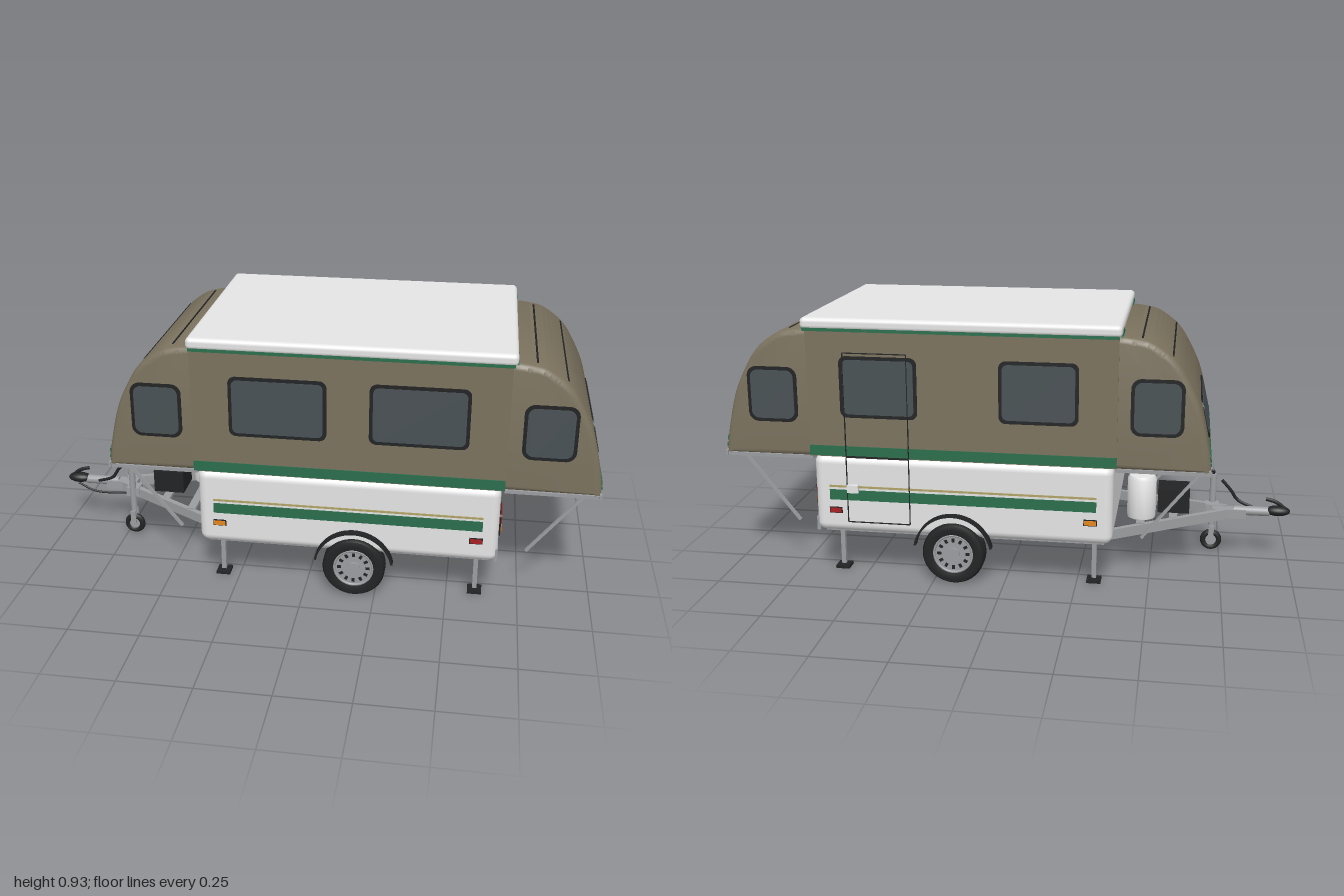
import * as THREE from 'three';
import { toCreasedNormals } from 'three/addons/utils/BufferGeometryUtils.js';
import { RoundedBoxGeometry } from 'three/addons/geometries/RoundedBoxGeometry.js';

const material = (name, color) => Object.assign(new THREE.MeshStandardMaterial({ color }), { name });
const M = {
  white: material('white panel', 0xe5e5e5), canvas: material('tent canvas', 0x7b725e),
  green: material('green trim', 0x2b6e4d), glass: material('window', 0x495154),
  black: material('black rubber', 0x222324), metal: material('grey metal', 0x9b9da0),
  red: material('red lens', 0xaa1f24), orange: material('orange lens', 0xe6861e),
  tan: material('tan stripe', 0xb0a468),
};
const V = (x, y, z) => new THREE.Vector3(x, y, z);
const MID = 0.15; // centre of the cabin along x

function add(parent, name, geo, mat, x = 0, y = 0, z = 0) {
  const m = new THREE.Mesh(geo, mat);
  m.name = name;
  m.position.set(x, y, z);
  parent.add(m);
  return m;
}
const box = (p, name, mat, w, h, d, x, y, z) => add(p, name, new THREE.BoxGeometry(w, h, d), mat, x, y, z);
const cyl = (p, name, mat, r, h, x, y, z, n = 20) => add(p, name, new THREE.CylinderGeometry(r, r, h, n), mat, x, y, z);

// box-section beam between two points
function beam(p, name, mat, a, b, w, h) {
  const m = box(p, name, mat, w, h, a.distanceTo(b), 0, 0, 0);
  m.position.copy(a).add(b).multiplyScalar(0.5);
  m.lookAt(b);
  return m;
}
function tube(p, name, mat, pts, r) {
  return add(p, name, new THREE.TubeGeometry(new THREE.CatmullRomCurve3(pts), 24, r, 8), mat);
}
function roundedRect(w, h, r, C = THREE.Shape) {
  const s = new C(), x = w / 2, y = h / 2, q = Math.PI / 2;
  s.absarc(x - r, y - r, r, 0, q);
  s.absarc(r - x, y - r, r, q, 2 * q);
  s.absarc(r - x, r - y, r, 2 * q, 3 * q);
  s.absarc(x - r, r - y, r, 3 * q, 4 * q);
  return s;
}
const extrude = (shape, depth) => new THREE.ExtrudeGeometry(shape, { depth, bevelEnabled: false, curveSegments: 6 });
const plate = (w, h, r, depth) => extrude(roundedRect(w, h, r), depth);
function outline(w, h, t, depth) {
  const s = roundedRect(w, h, 0.004);
  s.holes.push(roundedRect(w - 2 * t, h - 2 * t, 0.002, THREE.Path));
  return extrude(s, depth);
}
// framed window facing local +z
function makeWindow(name, w, h, r) {
  const g = new THREE.Group();
  g.name = name;
  add(g, 'windowFrame', plate(w, h, r, 0.004), M.black);
  add(g, 'windowGlass', plate(w - 0.024, h - 0.024, r * 0.75, 0.006), M.glass);
  return g;
}
function place(parent, obj, x, y, z, ry = 0) {
  obj.position.set(x, y, z);
  obj.rotation.y = ry;
  parent.add(obj);
  return obj;
}

// outer curve of the fold-out bed tent, from the bottom edge up to the roof
const CURVE = [[1, 0.43], [0.99, 0.51], [0.957, 0.648], [0.91, 0.75], [0.865, 0.815], [0.8, 0.864], [0.75, 0.88], [0.68, 0.888]]
  .map(([x, y]) => new THREE.Vector2(x - MID, y));

// puts an object against the curve at height y, facing outwards
function onCurve(parent, obj, y) {
  let i = 0;
  while (i < CURVE.length - 2 && CURVE[i + 1].y < y) i++;
  const a = CURVE[i], b = CURVE[i + 1], t = (y - a.y) / (b.y - a.y);
  const holder = new THREE.Group();
  holder.name = obj.name + 'Mount';
  holder.position.set(a.x + (b.x - a.x) * t, y, 0);
  holder.rotation.z = Math.atan2(a.x - b.x, b.y - a.y);
  obj.rotation.y = Math.PI / 2;
  holder.add(obj);
  parent.add(holder);
}

function makeEnd(name) {
  const g = new THREE.Group();
  g.name = name;
  const s = new THREE.Shape();
  s.moveTo(0.53, 0.43);
  s.lineTo(CURVE[0].x, CURVE[0].y);
  s.splineThru(CURVE.slice(1));
  // the canvas carries on a little way inside the cabin
  s.lineTo(0.44, 0.888);
  s.lineTo(0.44, 0.43);
  const geo = new THREE.ExtrudeGeometry(s, {
    depth: 0.666, bevelThickness: 0.022, bevelSize: 0.022, bevelOffset: -0.022, bevelSegments: 4, curveSegments: 30 });
  add(g, 'bedTent', toCreasedNormals(geo, 0.7), M.canvas, 0, 0, -0.333);
  box(g, 'bedFloor', M.metal, 0.318, 0.012, 0.71, 0.688, 0.429, 0);
  box(g, 'bedEdge', M.metal, 0.008, 0.018, 0.72, 0.846, 0.433, 0);
  onCurve(g, makeWindow('endWindow', 0.426, 0.14, 0.035), 0.579);
  for (const [y, h] of [[0.483, 0.019], [0.459, 0.014]]) {
    const stripe = new THREE.Mesh(plate(0.68, h, 0.003, 0.004), M.green);
    stripe.name = 'endStripe';
    onCurve(g, stripe, y);
  }
  for (const y of [0.878, 0.82]) {
    const seam = new THREE.Mesh(plate(0.62, 0.006, 0.002, 0.003), M.black);
    seam.name = 'tentSeam';
    onCurve(g, seam, y);
  }
  for (const z of [1, -1]) {
    place(g, makeWindow('bedSideWindow', 0.178, 0.196, 0.035), 0.665, 0.652, z * 0.354, z > 0 ? 0 : Math.PI);
    beam(g, 'bedStrut', M.metal, V(0.835, 0.43, z * 0.268), V(0.62, 0.16, z * 0.268), 0.01, 0.01);
    // green corner wedge on the roof end
    const w = new THREE.Shape([[-0.06, 0], [0.06, 0], [0.03, 0.011], [0, 0.022], [-0.03, 0.011]].map(p => new THREE.Vector2(...p)));
    add(g, 'roofWedge', extrude(w, 0.005), M.green, 0.541, 0.891, z * 0.312).rotation.y = Math.PI / 2;
  }
  return g;
}

function makeWheel() {
  const g = new THREE.Group();
  g.name = 'roadWheel';
  const prof = [[0.068, -0.028], [0.09, -0.033], [0.104, -0.03], [0.11, -0.02], [0.11, -0.009], [0.107, -0.007], [0.11, -0.005],
    [0.11, 0.005], [0.107, 0.007], [0.11, 0.009], [0.11, 0.02], [0.104, 0.03], [0.09, 0.033], [0.068, 0.028]].map(p => new THREE.Vector2(...p));
  add(g, 'tyre', toCreasedNormals(new THREE.LatheGeometry(prof, 40), 0.6), M.black).rotation.x = Math.PI / 2;
  cyl(g, 'rim', M.metal, 0.07, 0.028, 0, 0, 0.009, 32).rotation.x = Math.PI / 2;
  cyl(g, 'brakeDrum', M.black, 0.07, 0.02, 0, 0, -0.015, 32).rotation.x = Math.PI / 2;
  add(g, 'rimLip', new THREE.TorusGeometry(0.068, 0.005, 8, 32), M.metal, 0, 0, 0.025);
  cyl(g, 'hub', M.metal, 0.022, 0.03, 0, 0, 0.016).rotation.x = Math.PI / 2;
  for (let i = 0; i < 12; i++) {
    const a = i * Math.PI / 6;
    box(g, 'rimSlot', M.black, 0.014, 0.01, 0.004, Math.cos(a) * 0.05, Math.sin(a) * 0.05, 0.023).rotation.z = a;
  }
  return g;
}

function makeSide(root, z) {
  const ry = z > 0 ? 0 : Math.PI;
  box(root, 'tentWall', M.canvas, 1.065, 0.448, 0.006, 0.1475, 0.667, z * 0.377);
  box(root, 'tentStripe', M.green, 1.065, 0.036, 0.004, 0.1475, 0.464, z * 0.381);
  box(root, 'roofSideTrim', M.green, 1.07, 0.011, 0.006, MID, 0.891, z * 0.39);
  const windows = z > 0 ? [[-0.089, 0.333], [0.387, 0.333]] : [[-0.12, 0.27], [0.43, 0.27]];
  for (const [x, w] of windows) place(root, makeWindow('sideWindow', w, 0.215, 0.025), x, 0.693, z * 0.379, ry);
  // body stripes and marker lights
  box(root, 'bodyStripe', M.green, 0.935, 0.037, 0.004, 0.1475, 0.305, z * 0.384);
  box(root, 'thinStripe', M.tan, 0.935, 0.007, 0.004, 0.1475, 0.336, z * 0.384);
  for (const [name, mat, x] of [['frontMarker', M.orange, -0.3], ['rearMarker', M.red, 0.595]]) {
    box(root, name + 'Base', M.black, 0.046, 0.022, 0.004, x, 0.248, z * 0.384);
    box(root, name, mat, 0.04, 0.016, 0.008, x, 0.248, z * 0.385);
  }
  // wheel and thin mudguard
  place(root, makeWheel(), 0.176, 0.11, z * 0.367, ry);
  const arch = new THREE.Shape();
  arch.absarc(0, 0, 0.14, 0.18, Math.PI - 0.18);
  arch.absarc(0, 0, 0.133, Math.PI - 0.18, 0.18, true);
  add(root, 'mudguard', new THREE.ExtrudeGeometry(arch, { depth: 0.029, bevelEnabled: false, curveSegments: 24 }),
    M.black, 0.176, 0.115, z > 0 ? 0.378 : -0.407);
  // chassis rail, drawbar arm and corner steadies
  beam(root, 'chassisRail', M.metal, V(0.65, 0.146, z * 0.237), V(-0.33, 0.146, z * 0.237), 0.02, 0.036);
  beam(root, 'drawbarArm', M.metal, V(-0.32, 0.146, z * 0.237), V(-0.77, 0.177, z * 0.02), 0.02, 0.036);
  for (const x of [-0.31, 0.6]) {
    box(root, 'steadyLeg', M.metal, 0.016, 0.14, 0.016, x, 0.085, z * 0.3);
    box(root, 'steadyTop', M.metal, 0.03, 0.012, 0.036, x, 0.156, z * 0.3);
    box(root, 'steadyFoot', M.black, 0.05, 0.01, 0.052, x, 0.006, z * 0.3);
  }
  // tail lamps
  const lamp = new THREE.Group();
  lamp.name = 'tailLamp';
  add(lamp, 'lampFrame', plate(0.112, 0.086, 0.014, 0.008), M.black);
  add(lamp, 'redLens', plate(0.098, 0.033, 0.006, 0.011), M.red, 0, 0.02);
  add(lamp, 'orangeLens', plate(0.098, 0.037, 0.006, 0.011), M.orange, 0, -0.018);
  place(root, lamp, 0.668, 0.293, z * 0.29, Math.PI / 2);
}

function makeHitch() {
  const g = new THREE.Group();
  g.name = 'hitch';
  box(g, 'drawbar', M.metal, 0.12, 0.034, 0.045, -0.78, 0.175, 0);
  cyl(g, 'couplerShaft', M.metal, 0.017, 0.13, -0.86, 0.185, 0).rotation.z = Math.PI / 2;
  add(g, 'couplerHead', new THREE.SphereGeometry(0.045, 20, 12), M.black, -0.955, 0.19, 0).scale.set(1, 0.42, 0.56);
  tube(g, 'couplerHandle', M.black, [V(-0.985, 0.195, 0), V(-0.95, 0.222, 0), V(-0.91, 0.234, 0)], 0.007);
  tube(g, 'brakeLever', M.black, [V(-0.87, 0.19, 0.02), V(-0.81, 0.215, 0.03), V(-0.785, 0.25, 0.03), V(-0.75, 0.29, 0.03)], 0.006);
  tube(g, 'brakeCable', M.black, [V(-0.95, 0.18, 0.03), V(-0.88, 0.158, 0.045), V(-0.8, 0.155, 0.045), V(-0.7, 0.165, 0.04)], 0.004);
  // jockey wheel with winding handle
  const x = -0.72, z = 0.065;
  cyl(g, 'jockeyPost', M.metal, 0.012, 0.2, x, 0.2, z);
  cyl(g, 'jockeyStem', M.metal, 0.009, 0.06, x, 0.1, z);
  box(g, 'jockeyClamp', M.metal, 0.05, 0.036, 0.05, x, 0.175, 0.045);
  tube(g, 'jockeyCrank', M.black, [V(x, 0.3, z), V(x, 0.312, z), V(x + 0.03, 0.305, z), V(x + 0.038, 0.325, z)], 0.005);
  for (const s of [1, -1]) box(g, 'jockeyFork', M.metal, 0.02, 0.05, 0.008, x, 0.075, z + s * 0.018);
  add(g, 'jockeyTyre', new THREE.TorusGeometry(0.029, 0.011, 10, 24), M.black, x, 0.041, z);
  cyl(g, 'jockeyHub', M.metal, 0.02, 0.016, x, 0.041, z).rotation.x = Math.PI / 2;
  // battery box and gas bottle on the drawbar
  box(g, 'batteryBox', M.black, 0.115, 0.085, 0.12, -0.577, 0.225, 0);
  const bottle = [[0, 0], [0.05, 0], [0.052, 0.01], [0.052, 0.145], [0.045, 0.158], [0, 0.162]].map(p => new THREE.Vector2(...p));
  add(g, 'gasBottle', toCreasedNormals(new THREE.LatheGeometry(bottle, 24), 0.6), M.white, -0.462, 0.178, -0.09);
  box(g, 'bottleCrossbar', M.metal, 0.03, 0.014, 0.34, -0.462, 0.172, 0);
  box(g, 'batteryCrossbar', M.metal, 0.03, 0.014, 0.22, -0.577, 0.176, 0);
  return g;
}

export function createModel() {
  const root = new THREE.Group();
  root.name = 'foldingCamper';
  // lower body
  add(root, 'body', new RoundedBoxGeometry(1.045, 0.28, 0.766, 4, 0.03), M.white, 0.1475, 0.306, 0);
  box(root, 'bodyFloor', M.metal, 0.99, 0.008, 0.71, 0.1475, 0.164, 0);
  box(root, 'rearBumper', M.metal, 0.012, 0.05, 0.745, 0.665, 0.19, 0);
  add(root, 'plateOutline', outline(0.16, 0.044, 0.0025, 0.003), M.black, 0.669, 0.27, 0).rotation.y = Math.PI / 2;
  // roof
  add(root, 'roof', new RoundedBoxGeometry(1.088, 0.042, 0.788, 4, 0.016), M.white, MID, 0.91, 0);
  for (const z of [1, -1]) makeSide(root, z);
  // folding beds at both ends
  place(root, makeEnd('rearBed'), MID, 0, 0);
  place(root, makeEnd('frontBed'), MID, 0, 0, Math.PI);
  // entrance door on the far side
  add(root, 'doorOutlineUpper', outline(0.225, 0.368, 0.003, 0.005), M.black, 0.44, 0.629, -0.386);
  add(root, 'doorOutlineLower', outline(0.225, 0.24, 0.003, 0.004), M.black, 0.44, 0.325, -0.387);
  box(root, 'doorHandle', M.white, 0.04, 0.028, 0.014, 0.53, 0.33, -0.389);
  root.add(makeHitch());
  return root;
}
